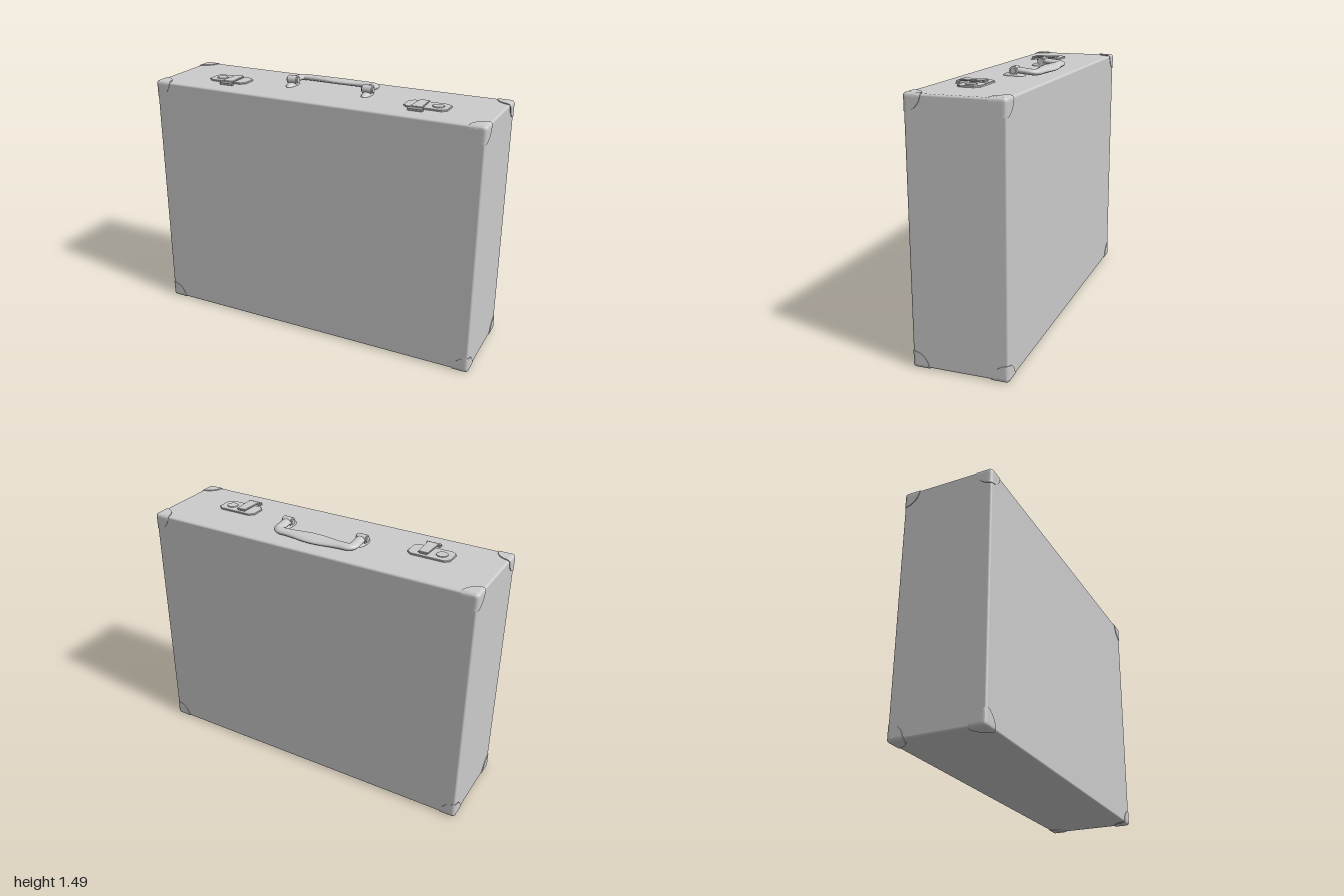
import * as THREE from 'three';
import { RoundedBoxGeometry } from 'three/addons/geometries/RoundedBoxGeometry.js';
import { mergeGeometries, mergeVertices, toCreasedNormals } from 'three/addons/utils/BufferGeometryUtils.js';

const material = new THREE.MeshStandardMaterial({ color: 0xcccccc });
const TOP = 1.437;

function add(parent, name, geometry, x = 0, y = 0, z = 0) {
  const mesh = new THREE.Mesh(geometry, material);
  mesh.name = name;
  mesh.position.set(x, y, z);
  parent.add(mesh);
  return mesh;
}

// Flat slab from an [x, z] outline, rising from y = 0
function slab(points, height, bevel = 0.002) {
  const shape = new THREE.Shape(points.map(([x, z]) => new THREE.Vector2(x, -z)));
  const geometry = new THREE.ExtrudeGeometry(shape, {
    depth: height - bevel, bevelSize: bevel, bevelThickness: bevel, bevelOffset: -bevel, bevelSegments: 1,
  });
  return geometry.rotateX(-Math.PI / 2);
}

// Corner cap: three quarter discs bent over a rounded corner, tip at the origin facing +x +y +z
function cornerCapGeometry(radius = 0.095, round = 0.018, rim = 0.008) {
  const rings = 14;
  const faces = [0, 1, 2].map((axis) => {
    const g = new THREE.RingGeometry(0, 1, 16, rings, 0, Math.PI / 2);
    const pos = g.attributes.position;
    const p = new THREE.Vector3(), q = new THREE.Vector3();
    for (let i = 0; i < pos.count; i++) {
      p.fromBufferAttribute(pos, i);
      const t = p.length();
      const isRim = t > 1 - 0.5 / rings;
      const reach = Math.min(t * rings / (rings - 1), 1) * radius;
      if (t > 0) p.multiplyScalar(-reach / t);
      q.set(Math.min(p.x, -round), Math.min(p.y, -round), -round);
      p.sub(q).setLength(isRim ? round - rim : round).add(q);
      const c = [p.x, p.y, p.z];
      pos.setXYZ(i, c[axis], c[(axis + 1) % 3], c[(axis + 2) % 3]);
    }
    g.deleteAttribute('uv');
    g.deleteAttribute('normal');
    return g;
  });
  return toCreasedNormals(mergeVertices(mergeGeometries(faces), 1e-5), 0.7);
}

function addCorners(group) {
  const cap = cornerCapGeometry();
  const bottomFlip = new THREE.Matrix4().makeRotationX(Math.PI);
  for (const up of [1, -1]) {
    for (let k = 0; k < 4; k++) {
      const turn = new THREE.Matrix4().makeRotationY(k * Math.PI / 2);
      if (up < 0) turn.multiply(bottomFlip);
      const d = new THREE.Vector3(1, 1, 1).applyMatrix4(turn).round();
      add(group, 'cornerCap', cap.clone().applyMatrix4(turn), d.x, up > 0 ? 1.442 : 0, d.z * 0.268);
    }
  }
}

// Grip and arms: one flattened tube that swells across the middle
function handleGeometry() {
  const v = (x, z) => new THREE.Vector3(x, 0, z);
  const path = new THREE.CurvePath();
  path.add(new THREE.LineCurve3(v(-0.235, 0), v(-0.235, -0.085)));
  path.add(new THREE.QuadraticBezierCurve3(v(-0.235, -0.085), v(-0.235, -0.12), v(-0.19, -0.12)));
  path.add(new THREE.LineCurve3(v(-0.19, -0.12), v(0.19, -0.12)));
  path.add(new THREE.QuadraticBezierCurve3(v(0.19, -0.12), v(0.235, -0.12), v(0.235, -0.085)));
  path.add(new THREE.LineCurve3(v(0.235, -0.085), v(0.235, 0)));
  const g = new THREE.TubeGeometry(path, 96, 0.029, 20);
  const pos = g.attributes.position;
  for (let i = 0; i < pos.count; i++) {
    const x = pos.getX(i), z = pos.getZ(i);
    const swell = Math.abs(x) < 0.19 ? Math.cos(x / 0.19 * Math.PI / 2) ** 2 : 0;
    pos.setY(i, pos.getY(i) * 0.58);
    pos.setZ(i, -0.12 + (z + 0.12) * (1 + 0.7 * swell));
  }
  g.computeVertexNormals();
  return g;
}

function addHandle(group) {
  const handle = new THREE.Group();
  handle.name = 'handle';
  const grip = add(handle, 'grip', handleGeometry(), 0, 1.47, -0.02);
  grip.rotation.x = -0.1;
  for (const s of [-1, 1]) {
    const knuckle = new THREE.CylinderGeometry(0.025, 0.025, 0.056, 24).rotateZ(Math.PI / 2);
    add(handle, 'knuckle', knuckle, s * 0.236, 1.467, -0.02);
    const pin = new THREE.CylinderGeometry(0.016, 0.016, 0.07, 16).rotateZ(Math.PI / 2);
    add(handle, 'hingePin', pin, s * 0.236, 1.467, -0.02);
    // Rounded tongue holding the hinge to the lid
    const tongue = new THREE.SphereGeometry(1, 24, 10, 0, Math.PI * 2, 0, Math.PI / 2).scale(0.029, 0.02, 0.065);
    add(handle, 'mountTongue', tongue, s * 0.236, TOP, -0.015);
  }
  group.add(handle);
}

function addLatch(group, s) {
  const latch = new THREE.Group();
  latch.name = s > 0 ? 'leftLatch' : 'rightLatch';
  latch.position.set(s * 0.613, TOP, 0.05);
  const w = 0.123, d = 0.064, c = 0.026;
  const plate = [[-w, d - c], [-w + c, d], [w - c, d], [w, d - c], [w, c - d], [w - c, -d], [c - w, -d], [-w, c - d]];
  add(latch, 'latchPlate', slab(plate, 0.009));
  const x = -s * 0.032;
  // Tapered hasp with its raised block and front catch
  add(latch, 'hasp', slab([[-0.034, 0.095], [0.034, 0.095], [0.028, -0.044], [-0.028, -0.044]], 0.007), x, 0.015, 0);
  add(latch, 'haspBlock', new THREE.BoxGeometry(0.046, 0.012, 0.085), x, 0.011, 0);
  add(latch, 'catch', new THREE.BoxGeometry(0.064, 0.018, 0.008), x, 0.01, 0.094);
  add(latch, 'catchPlate', slab([[-0.042, 0.112], [0.042, 0.112], [0.042, 0.092], [-0.042, 0.092]], 0.006), x);
  const bar = new THREE.CylinderGeometry(0.006, 0.006, 0.086, 12).rotateZ(Math.PI / 2);
  add(latch, 'catchBar', bar, x, 0.012, 0.102);
  // Round release button on the outer half
  add(latch, 'button', new THREE.CylinderGeometry(0.031, 0.033, 0.005, 28), s * 0.06, 0.0105, 0);
  group.add(latch);
}

export function createModel() {
  const group = new THREE.Group();
  group.name = 'suitcase';
  add(group, 'caseBody', new RoundedBoxGeometry(1.992, TOP - 0.006, 0.53, 3, 0.012), 0, (TOP + 0.006) / 2, 0);
  addCorners(group);
  addHandle(group);
  for (const s of [-1, 1]) addLatch(group, s);
  return group;
}
